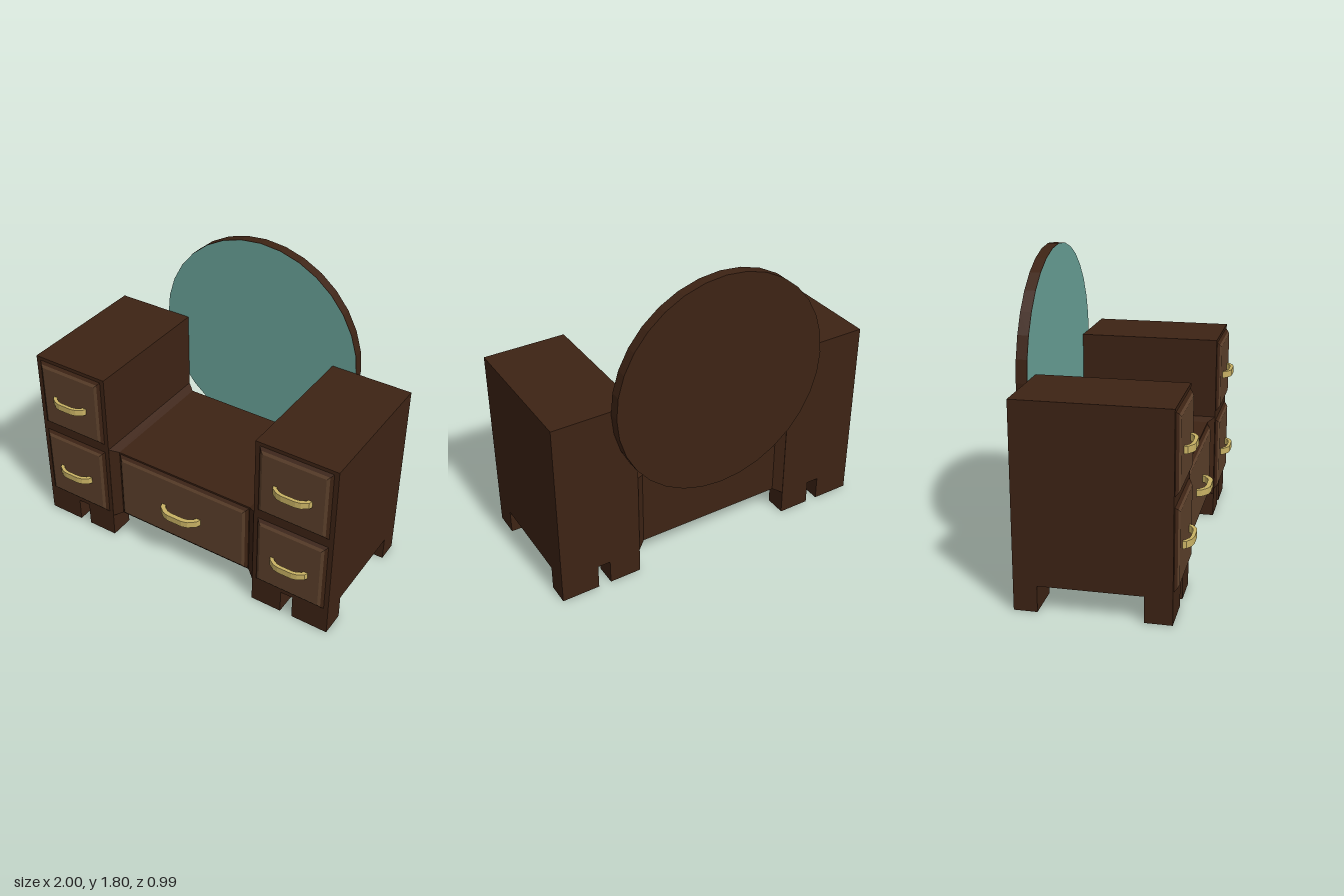
import * as THREE from 'three';

const mat = (color) => new THREE.MeshStandardMaterial({ color, flatShading: true });

export function createModel() {
  const model = new THREE.Group();
  const wood = mat(0x3d2314), panel = mat(0x5c402b), brass = mat(0xc9b264), glass = mat(0x6aa399);

  const add = (name, geometry, material, parent = model) => {
    const mesh = new THREE.Mesh(geometry, material);
    mesh.name = name;
    parent.add(mesh);
    return mesh;
  };

  // Box given by its extents
  const block = (name, x0, x1, y0, y1, z0, z1, parent) => {
    const m = add(name, new THREE.BoxGeometry(x1 - x0, y1 - y0, z1 - z0), wood, parent);
    m.position.set((x0 + x1) / 2, (y0 + y1) / 2, (z0 + z1) / 2);
    return m;
  };

  // Rectangular loft along z; each ring is [width, height, z]
  const loft = (rings) => {
    const n = rings.length - 1;
    const g = new THREE.BoxGeometry(1, 1, 1, 1, 1, n);
    const p = g.attributes.position;
    for (let i = 0; i < p.count; i++) {
      const [w, h, z] = rings[Math.round((p.getZ(i) + 0.5) * n)];
      p.setXYZ(i, p.getX(i) * w, p.getY(i) * h, z);
    }
    const flat = g.toNonIndexed();
    flat.computeVertexNormals();
    return flat;
  };

  // Bowed pull: faceted arch in plan, extruded to its height
  const pullGeometry = (half, depth) => {
    const outer = [[-1, -0.05], [-0.92, 0.38], [-0.62, 0.86], [-0.36, 1], [0.36, 1], [0.62, 0.86], [0.92, 0.38], [1, -0.05]];
    const inner = [[0.8, -0.05], [0.74, 0.2], [0.5, 0.52], [0.3, 0.6], [-0.3, 0.6], [-0.5, 0.52], [-0.74, 0.2], [-0.8, -0.05]];
    const shape = new THREE.Shape([...outer, ...inner].map(([x, y]) => new THREE.Vector2(x * half, y * depth)));
    const g = new THREE.ExtrudeGeometry(shape, { depth: 0.04, bevelEnabled: false });
    g.rotateX(Math.PI / 2);
    g.translate(0, 0.02, 0);
    return g;
  };

  // Drawer front with stepped bevel and brass pull
  const addDrawer = (name, x, y, z, w, h, pullHalf, pullDepth, pullY) => {
    const drawer = new THREE.Group();
    drawer.name = name;
    drawer.position.set(x, y, z);
    add('drawerFrame', loft([[w, h, -0.01], [w, h, 0], [w - 0.03, h - 0.03, 0.015]]), wood, drawer);
    add('drawerPanel', loft([[w - 0.03, h - 0.03, 0.01], [w - 0.03, h - 0.03, 0.015], [w - 0.06, h - 0.06, 0.024]]), panel, drawer);
    add('drawerPull', pullGeometry(pullHalf, pullDepth), brass, drawer).position.set(0, pullY - y, 0.024);
    model.add(drawer);
  };

  // Side pedestals with feet and two drawers each
  for (const [side, s] of [['left', 1], ['right', -1]]) {
    const cabinet = new THREE.Group();
    cabinet.name = side + 'Cabinet';
    model.add(cabinet);
    const span = (a, b) => (s > 0 ? [a, b] : [-b, -a]);
    block('cabinetBody', ...span(0.505, 1), 0.148, 1.155, -0.43, 0.42, cabinet);
    for (const [x0, x1] of [[0.505, 0.697], [0.773, 1]])
      for (const [z0, z1] of [[-0.43, -0.3], [0.27, 0.42]])
        block('foot', ...span(x0, x1), 0, 0.148, z0, z1, cabinet);
    addDrawer(side + 'UpperDrawer', s * 0.752, 0.913, 0.42, 0.44, 0.44, 0.12, 0.051, 0.905);
    addDrawer(side + 'LowerDrawer', s * 0.752, 0.405, 0.42, 0.44, 0.46, 0.12, 0.051, 0.392);
  }

  // Centre section, flaring out where it meets the pedestals
  const centre = add('centreSection', loft([
    [0.85, 0.515, -0.507], [0.77, 0.47, -0.455], [0.77, 0.47, 0.455], [0.85, 0.515, 0.507],
  ]), wood);
  centre.rotation.y = Math.PI / 2;
  centre.position.set(0, 0.406, -0.005);
  addDrawer('centreDrawer', 0, 0.403, 0.38, 0.9, 0.455, 0.138, 0.071, 0.392);

  // Round mirror: wooden backing and glass face
  const backing = add('mirrorBacking', new THREE.CylinderGeometry(0.656, 0.656, 0.062, 32), wood);
  backing.rotation.x = Math.PI / 2;
  backing.position.set(0, 1.14, -0.464);
  add('mirrorGlass', new THREE.CircleGeometry(0.655, 32), glass).position.set(0, 1.14, -0.4315);

  return model;
}
